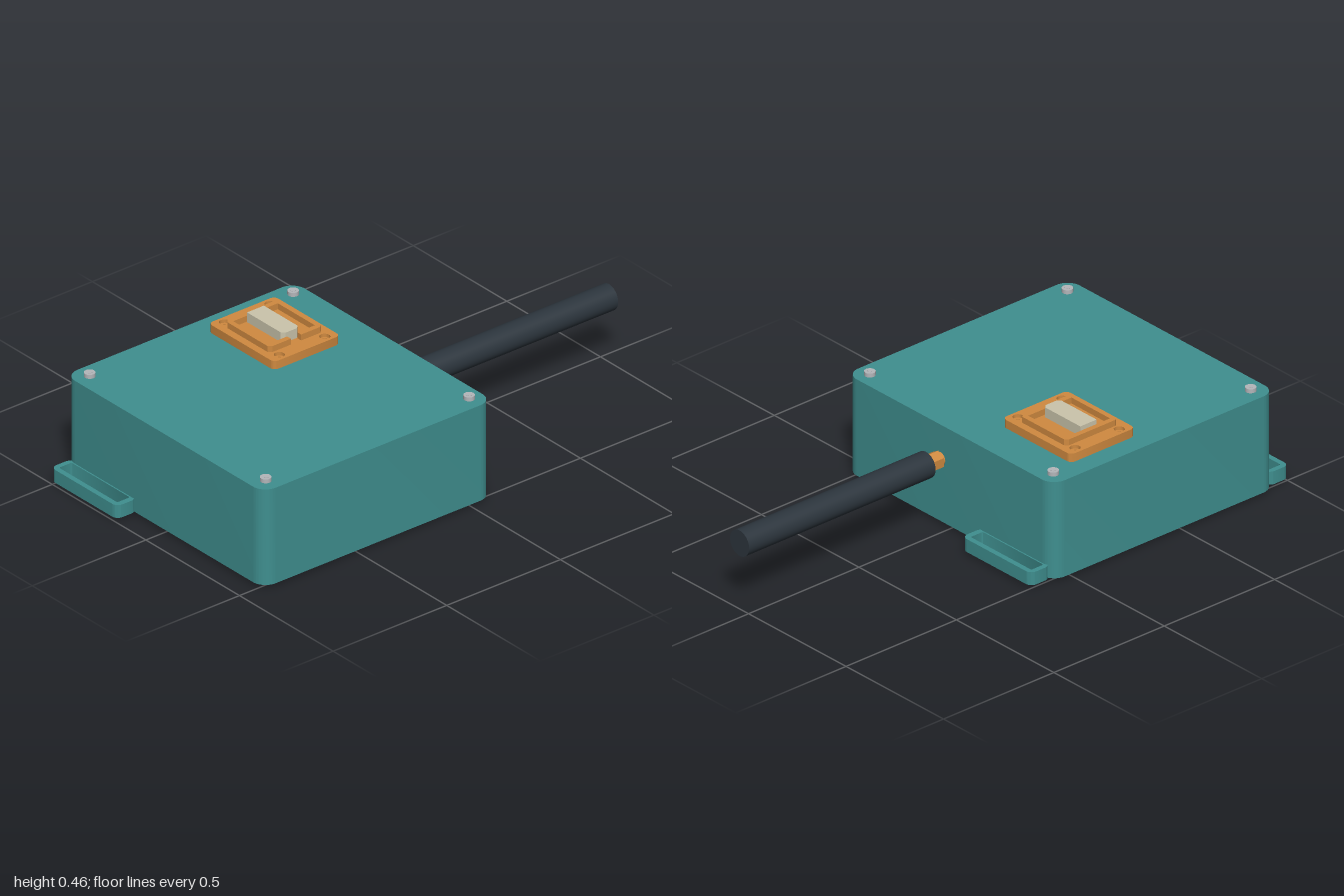
import * as THREE from 'three';
import { toCreasedNormals } from 'three/addons/utils/BufferGeometryUtils.js';

const material = (name, color) => {
  const m = new THREE.MeshStandardMaterial({ color });
  m.name = name;
  return m;
};

// Rounded rectangle outline in plan; shape y is -z
function roundRect(Type, x0, x1, z0, z1, r) {
  const p = new Type(), a = -z1, b = -z0, q = Math.PI / 2;
  p.moveTo(x0 + r, a);
  p.lineTo(x1 - r, a);
  p.absarc(x1 - r, a + r, r, -q, 0);
  p.lineTo(x1, b - r);
  p.absarc(x1 - r, b - r, r, 0, q);
  p.lineTo(x0 + r, b);
  p.absarc(x0 + r, b - r, r, q, 2 * q);
  p.lineTo(x0, a + r);
  p.absarc(x0 + r, a + r, r, 2 * q, 3 * q);
  return p;
}

// Raise a plan shape from y0 to y1
function slab(shape, y0, y1) {
  const g = new THREE.ExtrudeGeometry(shape, { depth: y1 - y0, bevelEnabled: false, curveSegments: 8 });
  g.rotateX(-Math.PI / 2).translate(0, y0, 0);
  return toCreasedNormals(g, 0.6);
}

export function createModel() {
  const group = new THREE.Group();
  const teal = material('teal', 0x3f8f8f);
  const orange = material('orange', 0xd08a40);
  const black = material('charcoal', 0x2c353d);
  const cream = material('cream', 0xcbc5ac);
  const steel = material('steel', 0xb4b6ba);

  const add = (name, geometry, mat, x = 0, y = 0, z = 0) => {
    const m = new THREE.Mesh(geometry, mat);
    m.name = name;
    m.position.set(x, y, z);
    group.add(m);
    return m;
  };

  // Housing
  add('housing', slab(roundRect(THREE.Shape, -0.53, 0.53, -0.09, 0.92, 0.055), 0.013, 0.385), teal);

  // Strap loops at front and back
  for (const [name, z0, z1, h0, h1] of [
    ['frontStrapLoop', 0.91, 1.0, 0.925, 0.98],
    ['backStrapLoop', -0.17, -0.08, -0.15, -0.095],
  ]) {
    const loop = roundRect(THREE.Shape, -0.508, -0.155, z0, z1, 0.025);
    loop.holes.push(roundRect(THREE.Path, -0.488, -0.177, h0, h1, 0.006));
    add(name, slab(loop, 0.013, 0.063), teal);
  }

  // Lid screws
  for (const x of [-0.47, 0.47]) for (const z of [-0.035, 0.86]) {
    add('lidScrew', new THREE.CylinderGeometry(0.02, 0.02, 0.015, 20), steel, x, 0.3925, z);
    add('screwSocket', new THREE.CylinderGeometry(0.01, 0.01, 0.002, 6), steel, x, 0.4, z);
  }

  // Connector flange in two layers, giving stepped corner holes
  for (const [y0, y1, r] of [[0.385, 0.404, 0.01], [0.404, 0.417, 0.019]]) {
    const flange = roundRect(THREE.Shape, -0.453, -0.102, 0.06, 0.352, 0.02);
    for (const x of [-0.424, -0.131]) for (const z of [0.105, 0.305]) {
      flange.holes.push(new THREE.Path().absarc(x, -z, r, 0, Math.PI * 2));
    }
    add('connectorFlange', slab(flange, y0, y1), orange);
  }

  // Collar around the socket, with a keyway on its left wall
  const collar = new THREE.Shape([
    [-0.16, -0.185], [-0.16, -0.1], [-0.172, -0.088], [-0.386, -0.088], [-0.398, -0.1],
    [-0.398, -0.312], [-0.386, -0.324], [-0.172, -0.324], [-0.16, -0.312], [-0.16, -0.23],
    [-0.18, -0.23], [-0.18, -0.304], [-0.378, -0.304], [-0.378, -0.108], [-0.18, -0.108], [-0.18, -0.185],
  ].map(([x, y]) => new THREE.Vector2(x, y)));
  add('connectorCollar', slab(collar, 0.417, 0.44), orange);

  // Contact block
  const block = new THREE.Shape([
    [-0.375, -0.246], [-0.195, -0.246], [-0.183, -0.234], [-0.183, -0.184], [-0.195, -0.172], [-0.375, -0.172],
  ].map(([x, y]) => new THREE.Vector2(x, y)));
  add('contactBlock', slab(block, 0.417, 0.455), cream);

  // Antenna and its fitting
  const rod = (name, r, z0, z1, sides, mat) => {
    const g = new THREE.CylinderGeometry(r, r, z0 - z1, sides).rotateX(Math.PI / 2);
    add(name, sides < 10 ? toCreasedNormals(g, 0.4) : g, mat, 0.046, 0.254, (z0 + z1) / 2);
  };
  rod('antennaNeck', 0.025, -0.085, -0.105, 24, orange);
  rod('antennaNut', 0.034, -0.1, -0.157, 6, orange);
  rod('antenna', 0.049, -0.155, -1, 32, black);

  // Underside cover with two screws
  add('bottomCover', slab(roundRect(THREE.Shape, -0.375, 0.375, -0.065, 0.19, 0.006), 0.011, 0.014), orange);
  for (const x of [-0.345, 0.345]) {
    add('coverScrew', new THREE.CylinderGeometry(0.022, 0.018, 0.006, 20), orange, x, 0.01, 0.06);
  }

  // Half-round bar under the housing
  const bar = new THREE.CylinderGeometry(0.02, 0.02, 0.385, 24).rotateZ(Math.PI / 2).scale(1, 0.7, 1);
  add('bottomBar', bar, steel, 0.113, 0.014, 0.51);

  return group;
}
